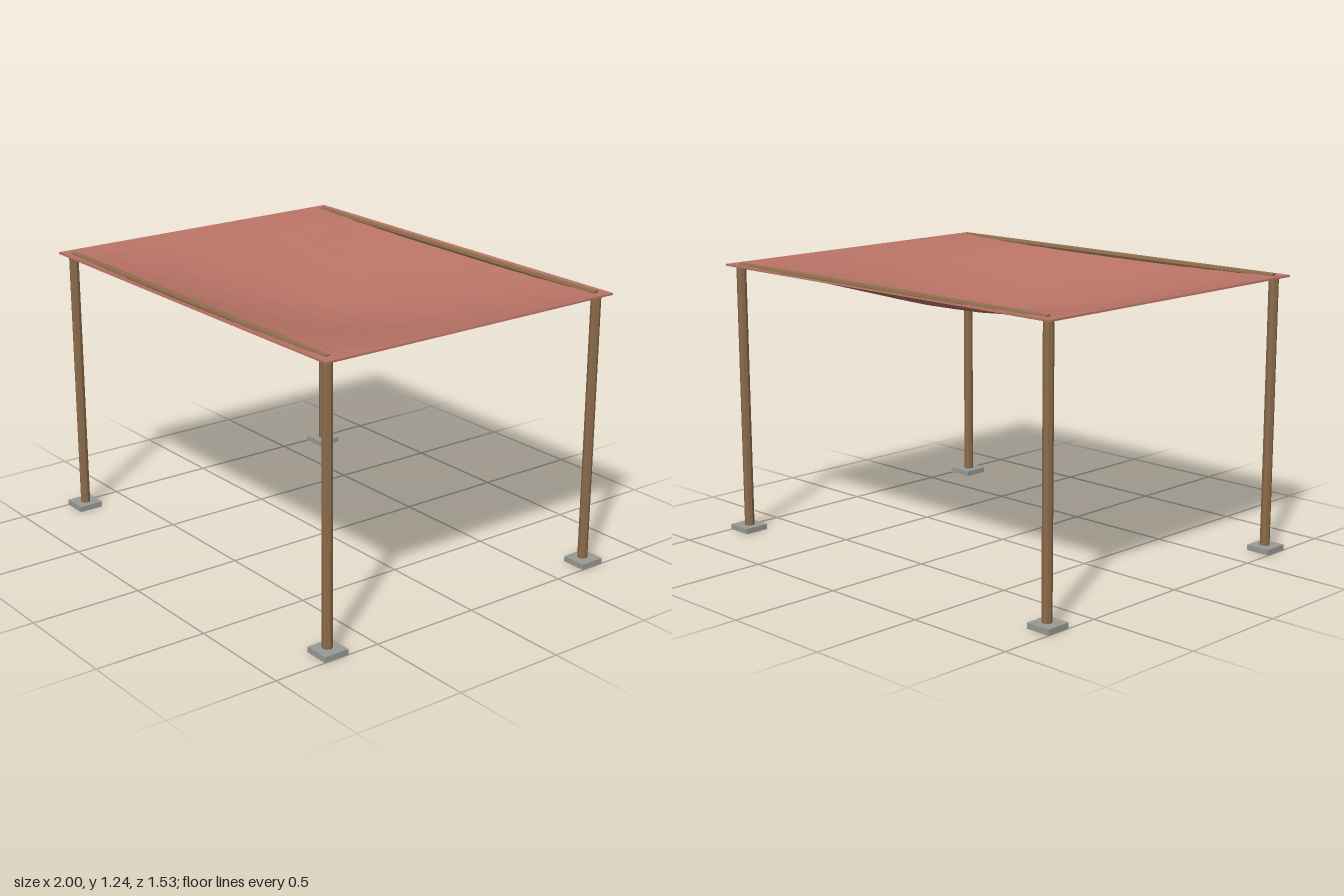
import * as THREE from 'three';

const HALF_X = 0.99, HALF_Z = 0.752, TOP = 1.233, SAG = 0.16, THICK = 0.008;
const POST_X = 0.938, POST_Z = 0.706, FOOT = 0.025;

const material = (name, color) => {
  const m = new THREE.MeshStandardMaterial({ color, flatShading: true });
  m.name = name;
  return m;
};

// Sagging cloth: a closed thin slab whose underside is offset along the normal
function canopyGeometry() {
  const g = new THREE.BoxGeometry(2 * HALF_X, 1, 2 * HALF_Z, 12, 1, 10);
  const p = g.attributes.position;
  const a = Math.PI / 2 / HALF_X, b = Math.PI / 2 / HALF_Z;
  const n = new THREE.Vector3();
  for (let i = 0; i < p.count; i++) {
    const x = p.getX(i), z = p.getZ(i), below = p.getY(i) < 0;
    const y = TOP - SAG * Math.cos(a * x) * Math.cos(b * z);
    n.set(-SAG * a * Math.sin(a * x) * Math.cos(b * z), 1,
      -SAG * b * Math.cos(a * x) * Math.sin(b * z)).normalize();
    const d = below ? THICK : 0;
    p.setXYZ(i, x - n.x * d, y - n.y * d, z - n.z * d);
  }
  g.computeVertexNormals();
  return g;
}

export function createModel() {
  const model = new THREE.Group();
  model.name = 'shadeCanopy';
  const cloth = material('terracotta cloth', 0xb87365);
  const wood = material('brown wood', 0x8b6b4a);
  const stone = material('grey stone', 0x999994);

  const add = (name, geometry, mat, x, y, z) => {
    const mesh = new THREE.Mesh(geometry, mat);
    mesh.name = name;
    mesh.position.set(x, y, z);
    model.add(mesh);
    return mesh;
  };

  add('canopy', canopyGeometry(), cloth, 0, 0, 0);

  const postHeight = 1.227 - FOOT;
  const post = new THREE.CylinderGeometry(0.022, 0.022, postHeight, 8);
  const foot = new THREE.BoxGeometry(0.115, FOOT, 0.115);
  const beam = new THREE.CylinderGeometry(0.0145, 0.0145, 2 * POST_X, 8);
  beam.rotateZ(Math.PI / 2);

  for (const sz of [1, -1]) {
    const end = sz > 0 ? 'front' : 'back';
    // Beam piercing the cloth just inside its long edge
    add(end + 'Beam', beam, wood, 0, 1.227, sz * POST_Z);
    // Corner posts on square pads
    for (const sx of [1, -1]) {
      const corner = end + (sx > 0 ? 'Left' : 'Right');
      add(corner + 'Post', post, wood, sx * POST_X, FOOT + postHeight / 2, sz * POST_Z);
      add(corner + 'Foot', foot, stone, sx * 0.9425, FOOT / 2, sz * POST_Z);
    }
  }
  return model;
}
